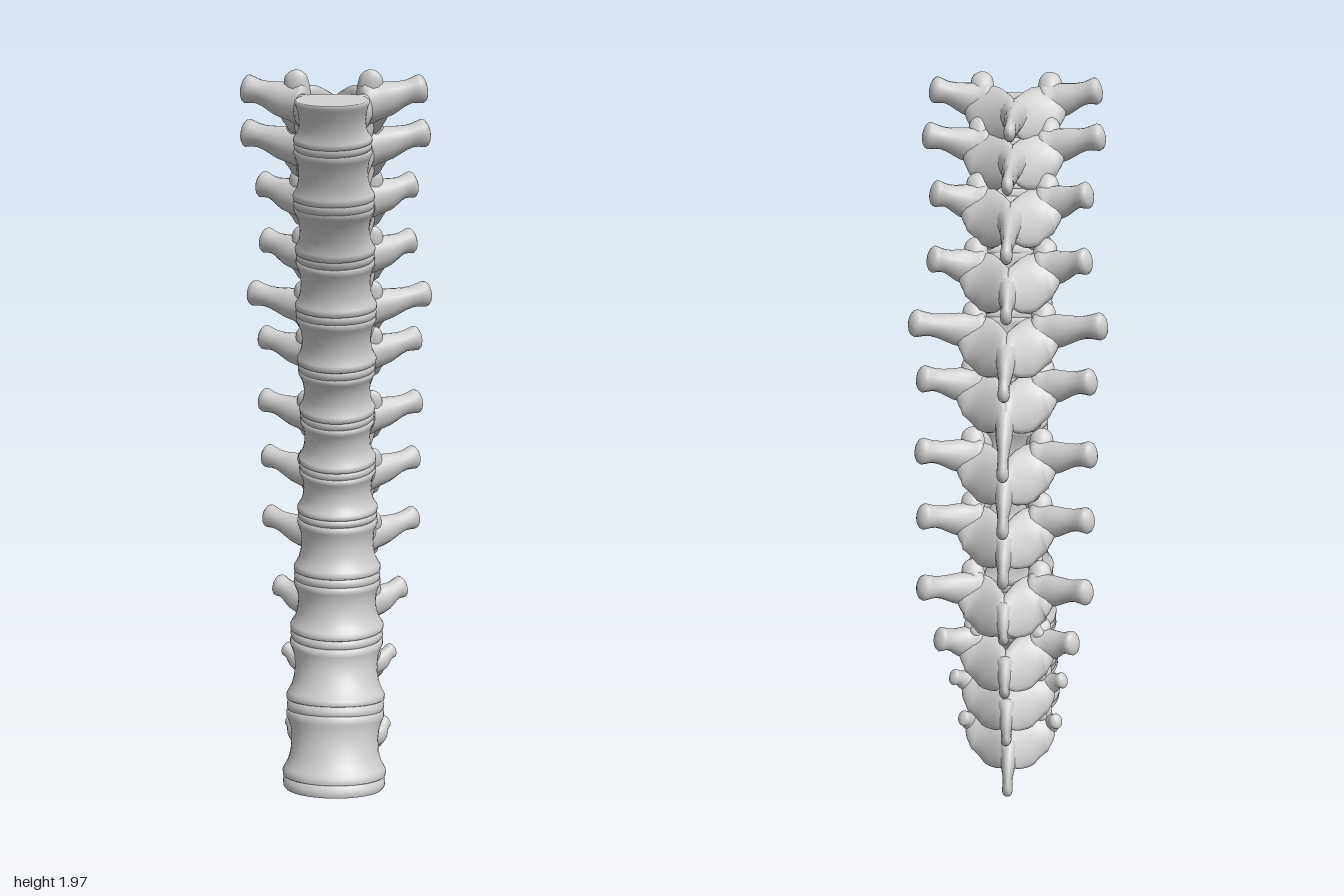
import * as THREE from 'three';

const material = new THREE.MeshStandardMaterial({ color: 0xcccccc, side: THREE.DoubleSide });
const V = (x, y, z) => new THREE.Vector3(x, y, z);
const lerp = THREE.MathUtils.lerp;

// Boundary planes between bodies, top to bottom: z, y, half width, half depth, slope
const planes = [
  [0.315, 1.925, 0.088, 0.052, -0.35], [0.27, 1.82, 0.094, 0.06, -0.4],
  [0.21, 1.68, 0.1, 0.07, -0.28], [0.135, 1.545, 0.1, 0.078, -0.32],
  [0.085, 1.395, 0.105, 0.094, -0.16], [0.037, 1.247, 0.103, 0.108, -0.15],
  [0.005, 1.11, 0.1, 0.11, -0.17], [-0.003, 0.97, 0.104, 0.107, -0.15],
  [-0.01, 0.827, 0.109, 0.122, 0], [0.01, 0.658, 0.119, 0.126, 0.08],
  [0.04, 0.5, 0.128, 0.135, 0.06], [0.13, 0.324, 0.133, 0.13, 0.25],
  [0.222, 0.143, 0.138, 0.122, 0.22],
];

// Per vertebra: side wing tip x, y, z, then rear spine tip y, z, half height
const spurs = [
  [0.225, 1.955, 0.205, 1.88, -0.065, 0.032], [0.235, 1.85, 0.115, 1.765, -0.155, 0.032],
  [0.205, 1.72, 0.015, 1.6, -0.2, 0.034], [0.205, 1.57, -0.07, 1.445, -0.208, 0.034],
  [0.25, 1.42, -0.138, 1.275, -0.305, 0.033], [0.225, 1.29, -0.19, 1.075, -0.345, 0.034],
  [0.23, 1.105, -0.22, 0.925, -0.355, 0.038], [0.225, 0.935, -0.25, 0.785, -0.352, 0.042],
  [0.225, 0.745, -0.282, 0.605, -0.322, 0.05], [0.19, 0.555, -0.21, 0.42, -0.28, 0.053],
  [0.16, 0.39, -0.125, 0.23, -0.218, 0.053], [0.14, 0.205, -0.045, 0.03, -0.172, 0.046],
];

// Skin a stack of rings and close both ends with creased caps
function skin(rings) {
  const n = rings[0].length, pos = [], idx = [];
  const add = p => pos.push(p.x, p.y, p.z) / 3 - 1;
  rings.forEach(r => r.forEach(add));
  for (let i = 0; i < rings.length - 1; i++) {
    for (let j = 0; j < n; j++) {
      const a = i * n + j, b = i * n + (j + 1) % n;
      idx.push(a, b, a + n, b, b + n, a + n);
    }
  }
  [rings[0], rings[rings.length - 1]].forEach((r, end) => {
    const c = add(r.reduce((s, p) => s.add(p), V(0, 0, 0)).divideScalar(n));
    const first = r.map(add)[0];
    for (let j = 0; j < n; j++) {
      const a = first + j, b = first + (j + 1) % n;
      if (end) idx.push(c, a, b); else idx.push(c, b, a);
    }
  });
  const g = new THREE.BufferGeometry();
  g.setAttribute('position', new THREE.Float32BufferAttribute(pos, 3));
  g.setIndex(idx);
  g.computeVertexNormals();
  return g;
}

// Sweep an ellipse along a curve; radii are [sideways, upward] per point, ends rounded
function sweep(points, radii, up = V(0, 1, 0)) {
  const curve = new THREE.CatmullRomCurve3(points), length = curve.getLength();
  const rings = [], steps = 18, sides = 14;
  for (let i = 0; i <= steps; i++) {
    const t = (1 - Math.cos(Math.PI * i / steps)) / 2;
    const f = t * (radii.length - 1), k = Math.min(Math.floor(f), radii.length - 2);
    const blend = THREE.MathUtils.smoothstep(f - k, 0, 1);
    const e = Math.min(1, Math.min(t, 1 - t) * length / Math.min(0.025, length * 0.3));
    const round = Math.max(0.05, Math.sqrt(1 - (1 - e) ** 2));
    const a = round * lerp(radii[k][0], radii[k + 1][0], blend);
    const b = round * lerp(radii[k][1], radii[k + 1][1], blend);
    const c = curve.getPoint(t), T = curve.getTangent(t);
    const side = up.clone().cross(T).normalize(), v = T.clone().cross(side);
    rings.push(Array.from({ length: sides }, (_, j) => {
      const q = j / sides * Math.PI * 2;
      return c.clone().addScaledVector(side, a * Math.cos(q)).addScaledVector(v, b * Math.sin(q));
    }));
  }
  return skin(rings);
}

// Kidney-shaped ring between two planes, with a shallow hollow at the back
function bodyRing(lower, upper, t, scale) {
  const [z, y, w, d, slope] = lower.map((v, i) => lerp(v, upper[i], t));
  const tilt = Math.atan(slope), n = 36;
  return Array.from({ length: n }, (_, j) => {
    const q = j / n * Math.PI * 2, c = Math.cos(q);
    const depth = d * scale * (c + (c < 0 ? 0.2 * c ** 6 : 0));
    return V(w * scale * Math.sin(q), y + depth * Math.sin(tilt), z + depth * Math.cos(tilt));
  });
}

const bodyProfile = [
  [0.07, 0.97], [0.085, 1.01], [0.15, 1.02], [0.19, 0.99], [0.28, 0.92], [0.4, 0.88],
  [0.55, 0.87], [0.7, 0.9], [0.82, 0.97], [0.86, 1], [0.92, 1], [0.935, 0.96],
];
const discProfile = [[-0.09, 0.94], [-0.05, 0.99], [0, 1], [0.05, 0.99], [0.09, 0.94]];

export function createModel() {
  const model = new THREE.Group();
  model.name = 'thoracicSpine';
  const mesh = (parent, name, geometry) => {
    const m = new THREE.Mesh(geometry, material);
    m.name = name;
    parent.add(m);
  };

  spurs.forEach(([tx, ty, tz, sy, sz, sh], i) => {
    const vertebra = new THREE.Group();
    vertebra.name = `vertebra${i + 1}`;
    model.add(vertebra);
    const upper = planes[i], lower = planes[i + 1];

    // Waisted body and the disc below it
    const profile = bodyProfile.map(([t, s]) => [i === 0 && t > 0.8 ? t + 0.06 : t, s]);
    mesh(vertebra, 'body', skin(profile.map(([t, s]) => bodyRing(lower, upper, t, s))));
    mesh(vertebra, 'disc', skin(discProfile.map(([t, s]) => bodyRing(lower, upper, t, s))));

    // Landmarks: back of body, articular pillar, meeting point of the laminae
    const bz = lerp(lower[0], upper[0], 0.65) - 0.75 * lerp(lower[3], upper[3], 0.65);
    const by = lerp(lower[1], upper[1], 0.66);
    const ay = ty - 0.03, az = (bz + tz) / 2 - 0.005;
    const my = ay - 0.03, mz = az - 0.085;
    const short = i > 9 ? 0.7 : 1;

    for (const s of [1, -1]) {
      const side = s > 0 ? 'left' : 'right';
      const P = (x, y, z) => V(s * x, y, z);
      mesh(vertebra, side + 'Pedicle', sweep(
        [P(0.06, by, bz + 0.04), P(0.078, (by + ay) / 2, (bz + az) / 2), P(0.085, ay, az - 0.02)],
        [[0.026, 0.048], [0.02, 0.036], [0.028, 0.044]]));
      // Wing flaring at the root and ending in a knob
      mesh(vertebra, side + 'TransverseWing', sweep(
        [P(0.06, ay - 0.01, az), P(0.115, ay, lerp(az, tz, 0.25)),
          P(lerp(0.11, tx, 0.6), lerp(ay, ty, 0.65), lerp(az, tz, 0.65)), P(tx, ty, tz)],
        [[0.045, 0.056], [0.035, 0.044], [0.028, 0.029], [0.03, 0.038]]
          .map(r => r.map(v => v * short))));
      // Concave shingle leaning back, from the wing root to the spinous blade
      mesh(vertebra, side + 'Lamina', sweep(
        [P(0.125, ay - 0.005, lerp(az, tz, 0.3)), P(0.075, ay - 0.02, az - 0.035),
          P(0.035, my - 0.012, mz + 0.002), P(0.006, my - 0.03, mz - 0.055)],
        [[0.022, 0.04], [0.026, 0.066], [0.024, 0.066], [0.012, 0.034]], V(0, 1, 0.7)));
      mesh(vertebra, side + 'UpperFacet', sweep(
        [P(0.078, ay - 0.03, az - 0.015), P(0.088, ay + 0.025, az), P(0.09, ay + 0.07, az + 0.014)],
        [[0.036, 0.03], [0.032, 0.024], [0.026, 0.013]], V(0, 0, 1)));
      mesh(vertebra, side + 'LowerFacet', sweep(
        [P(0.072, ay, az - 0.025), P(0.064, ay - 0.06, az - 0.035), P(0.056, ay - 0.12, az - 0.03)],
        [[0.034, 0.024], [0.034, 0.021], [0.026, 0.015]], V(0, 0, 1)));
    }

    // Thin spinous blade sloping down and back
    mesh(vertebra, 'spinousBlade', sweep(
      [V(0, my + 0.002, mz + 0.022), V(0, lerp(my, sy, 0.33), lerp(mz, sz, 0.38)),
        V(0, lerp(my, sy, 0.68), lerp(mz, sz, 0.72)), V(0, sy, sz)],
      [[0.045, sh + 0.01], [0.022, sh + 0.004], [0.014, sh], [0.016, sh * 0.7]]));
  });
  return model;
}
